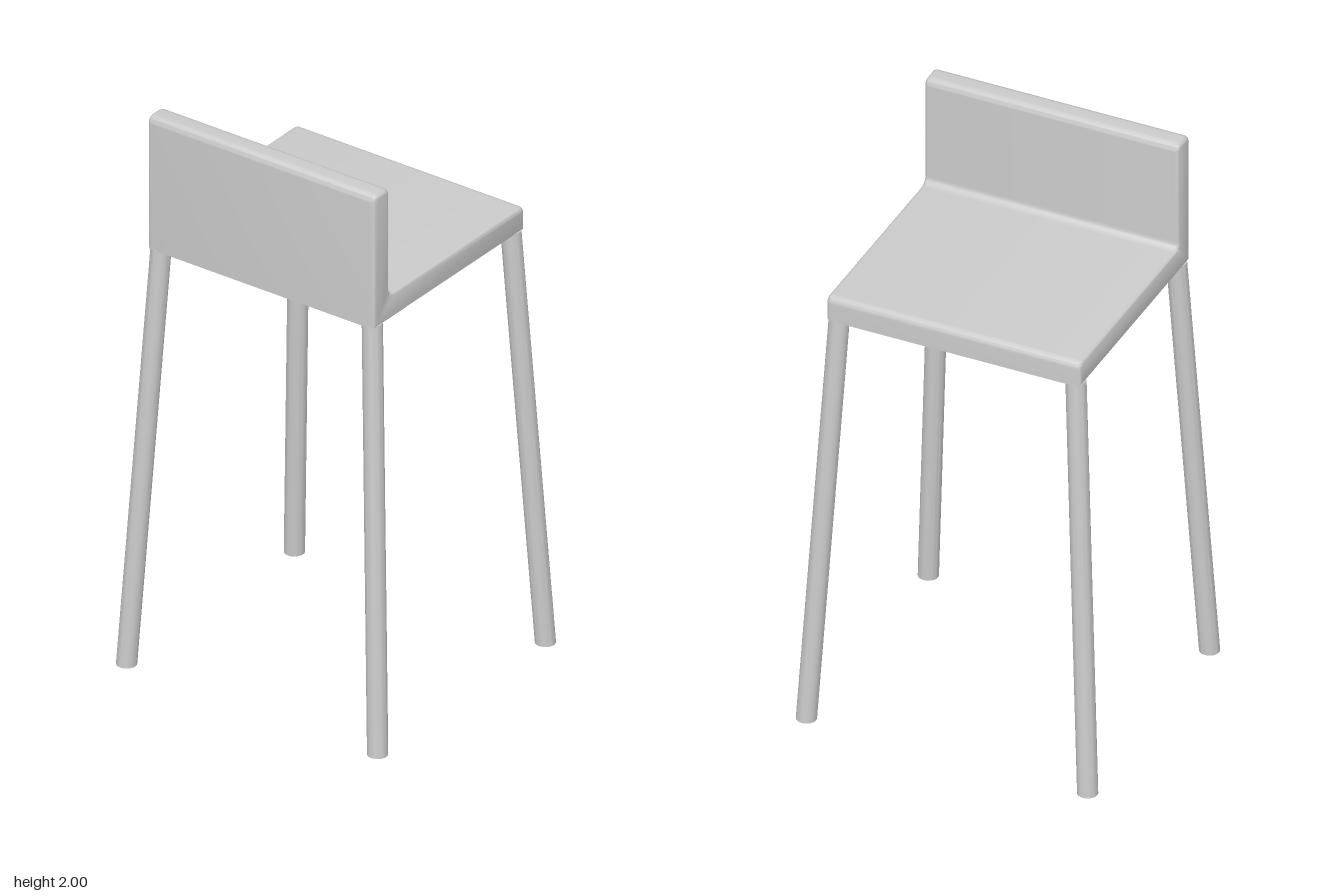
import * as THREE from 'three';
import { toCreasedNormals } from 'three/addons/utils/BufferGeometryUtils.js';

const material = new THREE.MeshStandardMaterial({ color: 0xcccccc });

// One-piece seat and backrest: side profile (z, y) extruded across the width
function makeSeat() {
  const zFar = 0.405, zBack = 0.322, bottom = 1.515, top = 1.605, peak = 2, r = 0.026;
  const s = new THREE.Shape();
  s.moveTo(-zFar, bottom);
  s.lineTo(zFar, bottom);
  s.lineTo(zFar, peak - r);
  s.quadraticCurveTo(zFar, peak, zFar - r, peak);
  s.lineTo(zBack + r, peak);
  s.quadraticCurveTo(zBack, peak, zBack, peak - r);
  s.lineTo(zBack, top + r);
  s.quadraticCurveTo(zBack, top, zBack - r, top);
  s.lineTo(-zFar + r, top);
  s.quadraticCurveTo(-zFar, top, -zFar, top - r);
  s.closePath();

  const width = 0.9, bevel = 0.014;
  const g = new THREE.ExtrudeGeometry(s, {
    depth: width - 2 * bevel, curveSegments: 8,
    bevelThickness: bevel, bevelSize: bevel, bevelOffset: -bevel, bevelSegments: 4,
  });
  g.translate(0, 0, bevel - width / 2);
  g.rotateY(-Math.PI / 2); // profile axis becomes z, extrusion runs along x
  const mesh = new THREE.Mesh(toCreasedNormals(g, 0.6), material);
  mesh.name = 'seatAndBackrest';
  return mesh;
}

// Round leg sheared outwards so that both ends stay level
function makeLeg(sx, sz) {
  const height = 1.52, radius = 0.034, splay = 0.079;
  const g = new THREE.CylinderGeometry(radius, radius, height, 32);
  g.translate(0, height / 2, 0);
  const p = g.attributes.position;
  for (let i = 0; i < p.count; i++) {
    const out = splay * (1 - p.getY(i) / height);
    p.setX(i, p.getX(i) + sx * (0.418 + out));
    p.setZ(i, p.getZ(i) + sz * (0.373 + out));
  }
  const mesh = new THREE.Mesh(toCreasedNormals(g, 0.6), material);
  mesh.name = (sz > 0 ? 'front' : 'back') + (sx > 0 ? 'Left' : 'Right') + 'Leg';
  return mesh;
}

export function createModel() {
  const model = new THREE.Group();
  model.name = 'barStool';
  model.add(makeSeat());
  for (const sx of [-1, 1]) for (const sz of [-1, 1]) model.add(makeLeg(sx, sz));
  return model;
}
